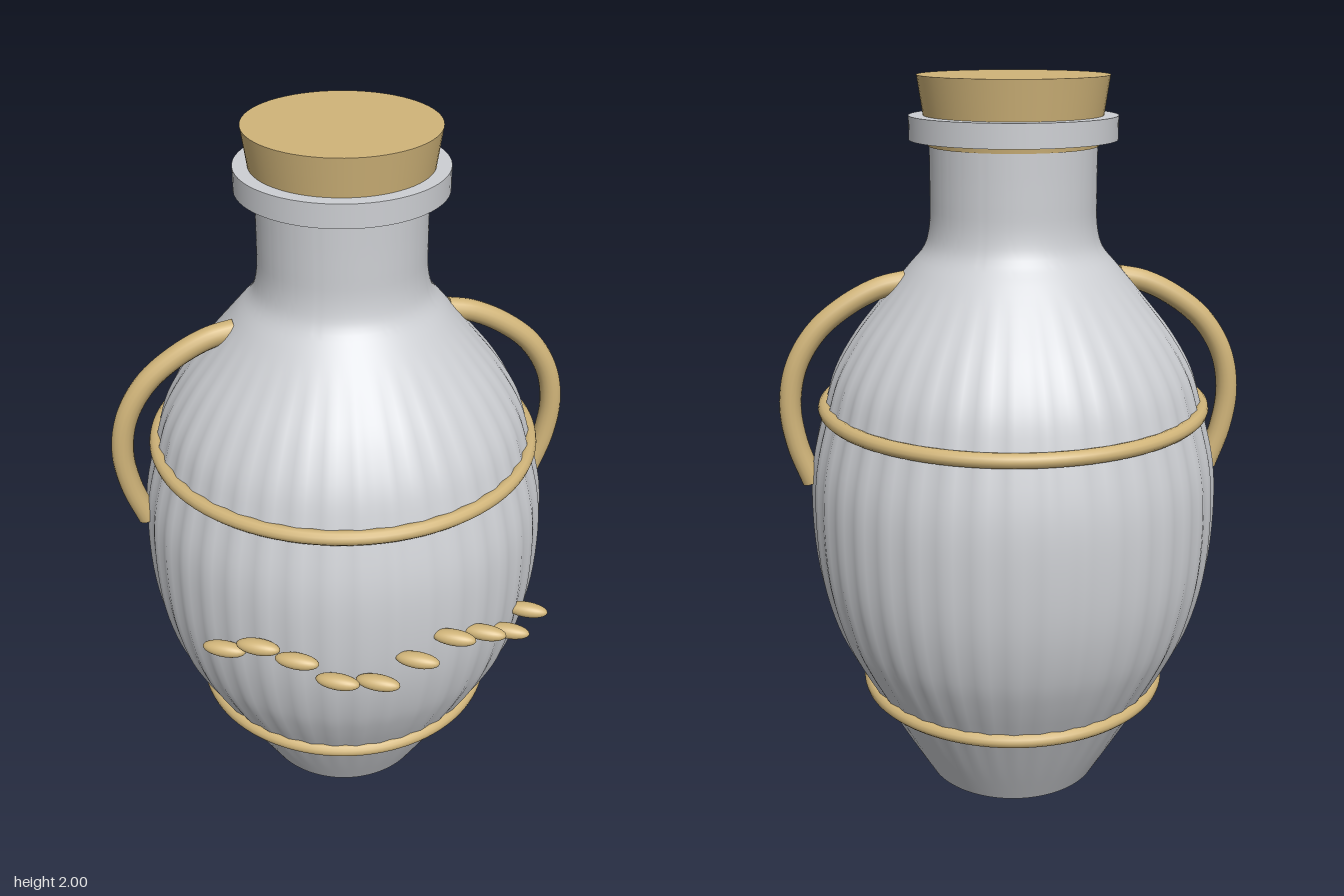
import * as THREE from 'three';
import { mergeVertices, toCreasedNormals } from 'three/addons/utils/BufferGeometryUtils.js';

export function createModel() {
  const grey = new THREE.MeshStandardMaterial({ color: 0xcdcfd3 });
  grey.name = 'pale grey clay';
  const tan = new THREE.MeshStandardMaterial({ color: 0xd0b479 });
  tan.name = 'tan';

  const model = new THREE.Group();
  model.name = 'corkedJar';
  // the jar's axis sits slightly off the origin
  const jar = new THREE.Group();
  jar.name = 'jar';
  jar.position.set(-0.025, 0, -0.025);
  model.add(jar);

  function add(name, geometry, material, y = 0, parent = jar) {
    const mesh = new THREE.Mesh(geometry, material);
    mesh.name = name;
    mesh.position.y = y;
    parent.add(mesh);
    return mesh;
  }

  // body: smooth belly running into a straight neck, with faint upright ripples
  const belly = new THREE.CatmullRomCurve3([
    [0.25, 0], [0.325, 0.13], [0.412, 0.29], [0.47, 0.4], [0.513, 0.5], [0.55, 0.65],
    [0.563, 0.82], [0.555, 0.97], [0.518, 1.12], [0.487, 1.22], [0.43, 1.32],
    [0.36, 1.41], [0.285, 1.5], [0.24, 1.555], [0.225, 1.61], [0.222, 1.7], [0.222, 1.84],
  ].map(([r, y]) => new THREE.Vector3(r, y, 0)));
  const profile = belly.getPoints(64).map((p) => new THREE.Vector2(p.x, p.y));
  let body = new THREE.LatheGeometry([new THREE.Vector2(0, 0), ...profile], 160);
  const pos = body.attributes.position;
  for (let i = 0; i < pos.count; i++) {
    const x = pos.getX(i), z = pos.getZ(i);
    const r = Math.hypot(x, z);
    if (r < 0.3) continue;
    const k = 1 + 0.004 * Math.min(1, (r - 0.3) / 0.2) * Math.sin(40 * Math.atan2(x, z)) / r;
    pos.setX(i, x * k);
    pos.setZ(i, z * k);
  }
  body.deleteAttribute('normal');
  body.deleteAttribute('uv');
  body = toCreasedNormals(mergeVertices(body), 0.6);
  add('body', body, grey);

  // lip and cork
  add('lip', new THREE.CylinderGeometry(0.275, 0.275, 0.062, 64), grey, 1.867);
  add('cork', new THREE.CylinderGeometry(0.252, 0.225, 0.18, 64), tan, 1.91);

  // bands around the belly
  for (const [name, r, y] of [['upperBand', 0.52, 1.12], ['lowerBand', 0.418, 0.29]]) {
    add(name, new THREE.TorusGeometry(r, 0.02, 12, 96).rotateX(Math.PI / 2), tan, y);
  }

  // two opposite handles, turned about the axis
  const path = new THREE.CatmullRomCurve3([
    [0.29, 1.465], [0.36, 1.45], [0.45, 1.405], [0.535, 1.335], [0.593, 1.24],
    [0.614, 1.13], [0.6, 1.02], [0.562, 0.91],
  ].map(([r, y]) => new THREE.Vector3(r, y, 0)));
  const handleGeometry = new THREE.TubeGeometry(path, 40, 0.03, 16);
  const capGeometry = new THREE.CircleGeometry(0.03, 16);
  ['leftHandle', 'rightHandle'].forEach((name, side) => {
    const handle = new THREE.Group();
    handle.name = name;
    handle.rotation.y = THREE.MathUtils.degToRad(28) + side * Math.PI;
    jar.add(handle);
    add('grip', handleGeometry, tan, 0, handle);
    for (const t of [0, 1]) {
      const cap = add('gripEnd', capGeometry, tan, 0, handle);
      const end = path.getPoint(t);
      cap.position.copy(end);
      cap.lookAt(0, 0, 0);
      const out = path.getTangent(t).multiplyScalar(t ? 1 : -1);
      cap.quaternion.setFromUnitVectors(new THREE.Vector3(0, 0, 1), out);
    }
  });

  // wavy row of flattened beads across the front left
  const beadGeometry = new THREE.SphereGeometry(1, 24, 16).scale(0.06, 0.021, 0.024);
  for (let i = 0; i < 10; i++) {
    const a = THREE.MathUtils.degToRad(-17.3 + i * 10.35);
    const bead = add('bead' + (i + 1), beadGeometry, tan, 0.74 + 0.05 * Math.sin(1.3 * i));
    bead.position.x = 0.588 * Math.sin(a);
    bead.position.z = 0.588 * Math.cos(a);
  }

  return model;
}
